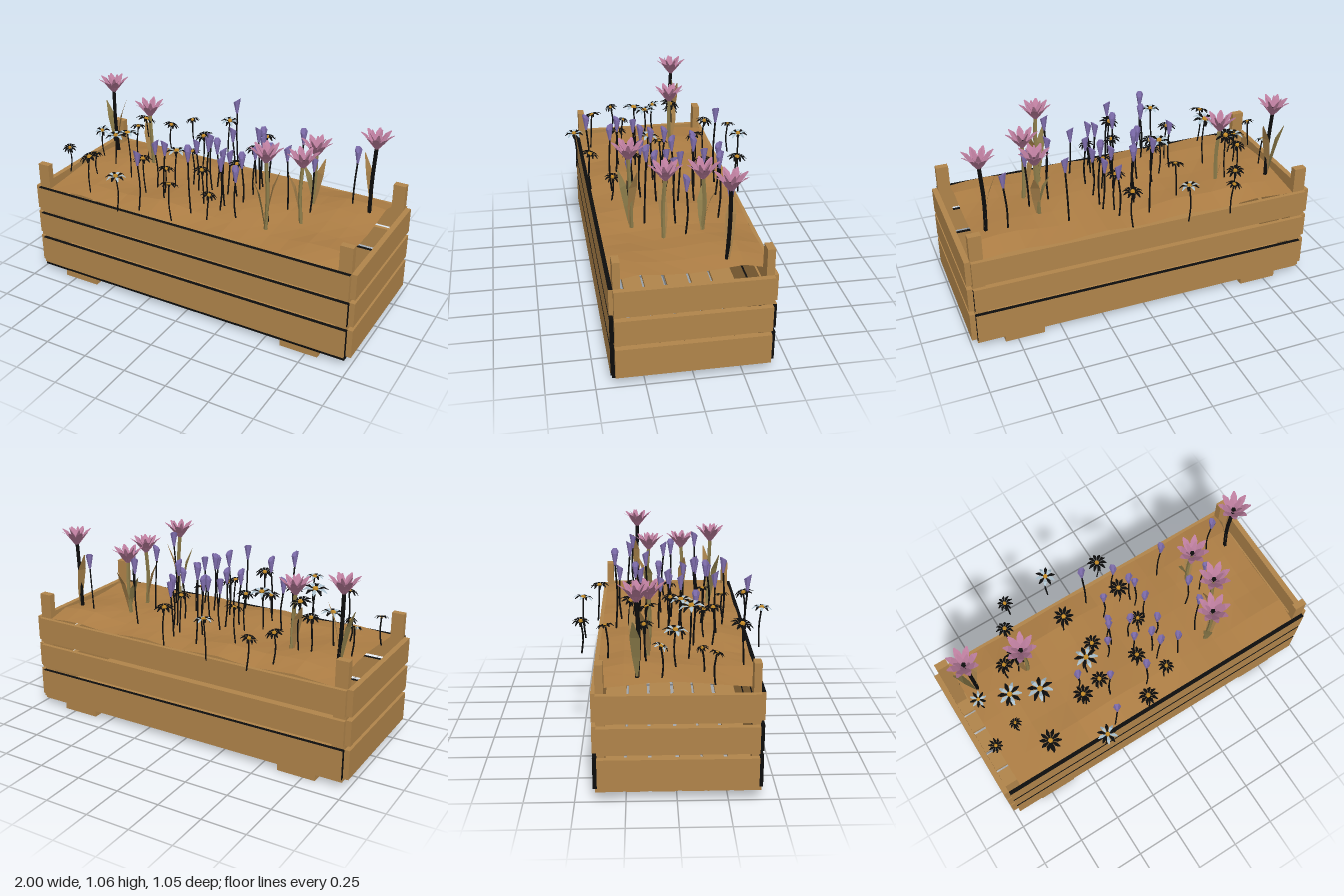
import * as THREE from 'three';
import { mergeGeometries } from 'three/addons/utils/BufferGeometryUtils.js';

const mat = (name, color, extra = {}) => {
  const m = new THREE.MeshStandardMaterial({ color, flatShading: true, ...extra });
  m.name = name;
  return m;
};
const both = { side: THREE.DoubleSide };

export function createModel() {
  const wood = mat('wood', 0xb0844a);
  const dark = mat('dark', 0x0c0c0c, both);
  const soilMat = mat('soil', 0xac7d44, both);
  const pink = mat('pink', 0xba7c9c, both);
  const purple = mat('purple', 0x8472b4, both);
  const pale = mat('pale petal', 0xa9bfcc, both);
  const amber = mat('amber', 0xc48a26);
  const olive = mat('olive', 0x8c7c4a, both);
  const leafMat = mat('leaf', 0xa5804a, both);

  const root = new THREE.Group();
  const add = (name, geo, material, parent = root) => {
    const m = new THREE.Mesh(geo, material);
    m.name = name;
    parent.add(m);
    return m;
  };
  // box given by its limits; darkFaces uses the order +x -x +y -y +z -z
  const board = (name, x0, x1, y0, y1, z0, z1, darkFaces = '') => {
    const mats = [0, 1, 2, 3, 4, 5].map(i => (darkFaces.includes(i) ? dark : wood));
    const m = add(name, new THREE.BoxGeometry(x1 - x0, y1 - y0, z1 - z0), darkFaces ? mats : wood);
    m.position.set((x0 + x1) / 2, (y0 + y1) / 2, (z0 + z1) / 2);
  };

  // crate walls
  [[0.055, 0.222], [0.247, 0.387], [0.41, 0.555]].forEach(([a, b], i) => {
    board('frontSlat', -0.97, 0.97, a, b, 0.4, 0.422, i < 2 ? '012' : '2');
    board('backSlat', -0.97, 0.97, a, b, -0.412, -0.39, i === 0 ? '012' : i === 1 ? '0' : '');
    board('leftEndBoard', 0.97, 1, a, b, -0.39, 0.4);
    board('rightEndBoard', -1, -0.97, a, b, -0.39, 0.4);
  });
  // corner posts and feet
  for (const s of [-1, 1]) {
    const [x0, x1] = s > 0 ? [0.9, 0.97] : [-0.97, -0.9];
    board('frontPost', x0, x1, 0.055, 0.7, 0.363, 0.4);
    board('backPost', x0, x1, 0.055, 0.7, -0.39, -0.35);
    board('foot', s * 0.71 - 0.11, s * 0.71 + 0.11, 0, 0.036, -0.4, 0.415);
  }
  // floor planks
  [[0.28, 0.415], [0.15, 0.258], [0.025, 0.135], [-0.122, 0.005], [-0.25, -0.14], [-0.4, -0.265]]
    .forEach(([a, b], i) => board('floorPlank', -0.97, 0.97, 0.036, 0.056, a, b, ['04', '', '', '', '0', ''][i]));

  // lumpy soil sheet
  const soil = new THREE.PlaneGeometry(1.8, 0.79, 16, 6).rotateX(-Math.PI / 2);
  const p = soil.attributes.position;
  for (let i = 0; i < p.count; i++) {
    const x = p.getX(i), z = p.getZ(i);
    const hump = Math.cos((x + 0.67) * 13.6) * 0.5 + 0.5;
    const edge = Math.min(1, (0.395 - Math.abs(z)) / 0.13);
    p.setY(i, 0.553 + edge * (0.02 + 0.012 * Math.sin(x * 5 + z * 9)) + hump * 0.016);
  }
  add('soil', soil.translate(0, 0, 0.005), soilMat);

  // flat blade from stations [out, up, halfWidth]
  const blade = stations => {
    const pos = [], idx = [];
    stations.forEach(([o, u, w], i) => {
      pos.push(o, u, -w, o, u, w);
      if (i) idx.push(2 * i - 2, 2 * i - 1, 2 * i, 2 * i - 1, 2 * i + 1, 2 * i);
    });
    const g = new THREE.BufferGeometry();
    g.setAttribute('position', new THREE.Float32BufferAttribute(pos, 3));
    g.setIndex(idx);
    g.computeVertexNormals();
    return g;
  };
  const ring = (stations, n, start = 0) => mergeGeometries(
    Array.from({ length: n }, (_, i) => blade(stations).rotateY(start + (i / n) * Math.PI * 2)));
  // gently bent stem ending at the head
  const stem = (x, y, z, r, i, sides = 4) => {
    const a = i * 2.4, d = 0.012;
    const curve = new THREE.CatmullRomCurve3([
      new THREE.Vector3(x + d * Math.cos(a), 0.572, z + d * Math.sin(a)),
      new THREE.Vector3(x + d * Math.cos(a + 1), (y + 0.572) / 2, z + d * Math.sin(a + 1)),
      new THREE.Vector3(x, y, z)]);
    return new THREE.TubeGeometry(curve, 5, r, sides);
  };
  const flower = (name, x, y, z) => {
    const g = new THREE.Group();
    g.name = name;
    g.position.set(x, y, z);
    root.add(g);
    return g;
  };

  // tall pink flowers: x, top, z, leaf directions
  [[-0.84, 1.06, -0.19, [0.4, 2.9]], [0.84, 1.06, -0.19, [2.8]], [0.41, 1.06, 0.245, [0.5, 3.9]],
    [0.54, 0.99, 0.075, [3.4]], [0.53, 0.98, -0.12, [1.2, 3.0]], [-0.545, 0.985, -0.13, [2.5]]]
    .forEach(([x, top, z, leaves], i) => {
      add('tallStem', stem(x, top - 0.08, z, 0.011, i, 5), i < 2 ? dark : olive);
      const g = flower('pinkFlower', x, top, z);
      const outer = [[0.006, -0.095, 0.008], [0.032, -0.06, 0.02], [0.062, -0.025, 0.018], [0.088, -0.008, 0.004]];
      const inner = [[0.004, -0.085, 0.006], [0.02, -0.045, 0.016], [0.045, 0, 0.004]];
      add('outerPetals', ring(outer, 8, i), pink, g);
      add('innerPetals', ring(inner, 5, i + 0.4), pink, g);
      add('flowerHeart', new THREE.ConeGeometry(0.014, 0.04, 5).rotateX(Math.PI).translate(0, -0.075, 0), dark, g);
      leaves.forEach((a, k) => {
        const h = top - 0.73 - k * 0.03;
        const leaf = blade([[0, 0, 0.006], [0.016, h * 0.35, 0.02], [0.038, h * 0.7, 0.026], [0.075, h, 0.003]]);
        add('longLeaf', leaf.rotateY(a).translate(x, 0.59, z), k ? olive : leafMat);
      });
    });

  // slender purple blooms: x, top, z
  [[-0.06, 1.035, -0.31], [0.125, 0.9, -0.29], [-0.01, 0.92, -0.17], [0.17, 0.9, -0.2], [0.4, 0.97, -0.235],
    [0.17, 0.97, -0.14], [0.19, 0.9, -0.065], [-0.05, 0.88, -0.06], [-0.07, 0.93, -0.02], [0.06, 0.86, -0.01],
    [0.18, 0.9, 0.075], [0, 0.98, 0.125], [0.12, 0.92, 0.2], [-0.03, 0.98, 0.29], [-0.215, 0.95, 0.23],
    [-0.35, 0.88, 0.12], [0.22, 0.89, 0.22], [0.56, 0.93, -0.03], [0.42, 0.975, 0.01], [0.39, 1.03, 0.15],
    [-0.28, 0.945, 0.4], [0.1, 0.94, 0.14], [0.73, 0.94, -0.22], [-0.12, 0.91, 0.05]]
    .forEach(([x, top, z], i) => {
      add('thinStem', stem(x, top - 0.09, z, 0.005, i), dark);
      const bloom = new THREE.CylinderGeometry(0.021, 0.006, 0.08, 6, 1, true).translate(0, -0.055, 0);
      const b = bloom.attributes.position;
      for (let k = 0; k < b.count; k++) if (b.getY(k) > -0.05) b.setY(k, -0.015 + b.getX(k) * 0.7);
      add('purpleBloom', bloom.rotateY(i * 2.1), purple, flower('purpleFlower', x, top, z));
    });

  // daisies: x, head height, z, size, 1 where some petals are pale
  [[-0.465, 0.75, -0.48, 0.045, 0], [-0.2, 0.8, -0.48, 0.055, 1], [0.09, 0.785, -0.405, 0.055, 0],
    [-0.54, 0.75, -0.35, 0.05, 0], [-0.235, 0.79, -0.225, 0.055, 0], [0.11, 0.79, -0.21, 0.055, 0],
    [-0.65, 0.79, -0.155, 0.05, 0], [-0.58, 0.86, -0.14, 0.06, 0], [-0.86, 0.75, -0.075, 0.045, 1],
    [-0.705, 0.78, 0, 0.065, 1], [-0.56, 0.86, 0.085, 0.07, 1], [-0.755, 0.7, 0.13, 0.035, 0],
    [-0.905, 0.73, 0.19, 0.04, 0], [-0.375, 0.79, 0.21, 0.055, 0], [-0.255, 0.8, 0.045, 0.065, 1],
    [-0.185, 0.79, -0.01, 0.05, 0], [0.105, 0.78, -0.005, 0.045, 0], [-0.25, 0.74, 0.17, 0.05, 0],
    [-0.015, 0.79, 0.175, 0.05, 0], [-0.65, 0.79, 0.335, 0.06, 0], [-0.38, 0.79, 0.465, 0.055, 1],
    [-0.085, 0.785, 0.4, 0.055, 0], [0.1, 0.72, 0.295, 0.045, 0]]
    .forEach(([x, y, z, r, light], i) => {
      add('daisyStem', stem(x, y, z, 0.0045, i), dark);
      const g = flower('daisy', x, y, z);
      g.rotation.set(0.25 * Math.sin(i * 1.7), i, 0.25 * Math.cos(i * 2.3));
      const petal = [[0.2 * r, 0, 0.06 * r], [0.65 * r, 0.008, 0.17 * r], [r, -0.006, 0.05 * r]];
      add('darkPetals', ring(petal, 5), dark, g);
      add('lightPetals', ring(petal, 5, Math.PI / 5), light ? pale : dark, g);
      add('daisyCentre', new THREE.CylinderGeometry(0.2 * r, 0.26 * r, 0.012, 6).translate(0, 0.004, 0), amber, g);
    });

  return root;
}
